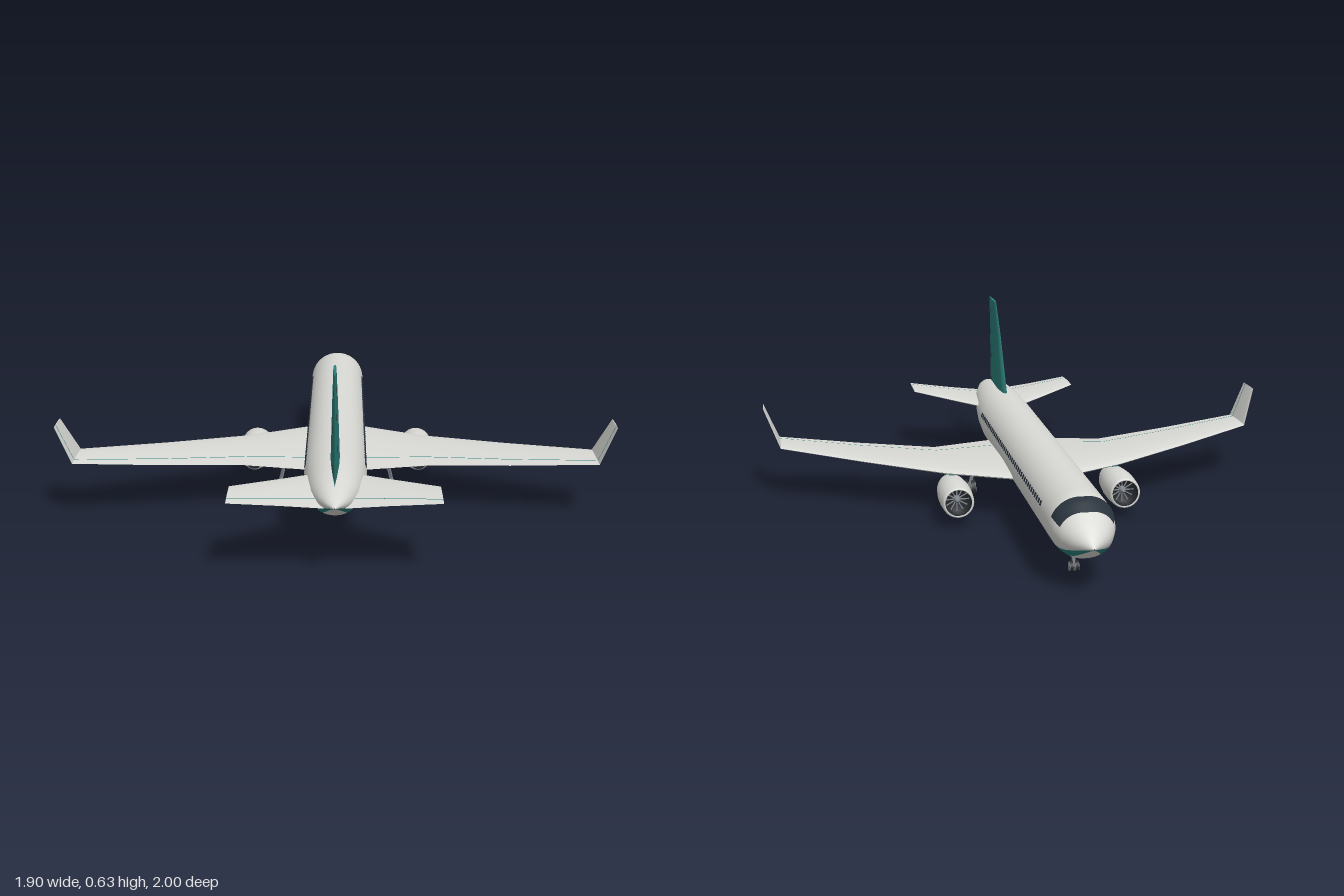
import * as THREE from 'three';
import { toCreasedNormals } from 'three/addons/utils/BufferGeometryUtils.js';

const paint = (name, color, side = THREE.FrontSide) => {
  const m = new THREE.MeshStandardMaterial({ color, side });
  m.name = name;
  return m;
};

// Fuselage stations: z, top y, bottom y, half width (nose at -z)
const STATIONS = [
  [-1, 0.173, 0.169, 0.002], [-0.985, 0.195, 0.157, 0.024], [-0.95, 0.227, 0.135, 0.058],
  [-0.91, 0.258, 0.113, 0.083], [-0.87, 0.284, 0.098, 0.098], [-0.83, 0.298, 0.091, 0.104],
  [-0.78, 0.3, 0.09, 0.105], [0.48, 0.3, 0.09, 0.105], [0.6, 0.3, 0.102, 0.1],
  [0.7, 0.298, 0.125, 0.091], [0.8, 0.291, 0.157, 0.077], [0.9, 0.276, 0.2, 0.051],
  [0.96, 0.262, 0.229, 0.026], [1, 0.25, 0.246, 0.002],
];

// Point on the fuselage skin at z and angle in degrees (0 = +x, 90 = top)
function skin(z, deg, lift) {
  let i = 0;
  while (i < STATIONS.length - 2 && z > STATIONS[i + 1][0]) i++;
  const a = STATIONS[i], b = STATIONS[i + 1], k = (z - a[0]) / (b[0] - a[0]);
  const [, top, bottom, w] = a.map((v, n) => v + (b[n] - v) * k);
  const r = THREE.MathUtils.degToRad(deg);
  return [Math.cos(r) * (w + lift), (top + bottom) / 2 + Math.sin(r) * ((top - bottom) / 2 + lift), z];
}

// Grid of points rows x cols; normal is (column step) x (row step)
function grid(rows) {
  const n = rows[0].length, index = [];
  for (let i = 0; i < rows.length - 1; i++)
    for (let j = 0; j < n - 1; j++) {
      const a = i * n + j, b = a + 1, d = a + n, c = d + 1;
      index.push(a, b, c, a, c, d);
    }
  const g = new THREE.BufferGeometry();
  g.setAttribute('position', new THREE.Float32BufferAttribute(rows.flat(2), 3));
  g.setIndex(index);
  g.computeVertexNormals();
  return g;
}

// Patch of fuselage skin between two angles, with z positions that may depend on the angle
function skinPatch(a0, a1, zsAt, lift = 0) {
  const n = Math.round((a1 - a0) / 5), cols = [];
  for (let j = 0; j <= n; j++) {
    const deg = a0 + ((a1 - a0) * j) / n;
    cols.push(zsAt(deg).map((z) => skin(z, deg, lift)));
  }
  return grid(cols[0].map((_, i) => cols.map((c) => c[i])));
}

// Aerofoil surfaces: each section is { p: [x, y], n: thickness direction, z0, z1, t }
const CHORD = [0, 0.03, 0.1, 0.3, 0.5, 0.79, 1];
const halfThick = (f) => 1.3 * Math.sqrt(f) * (1 - f);
const foilPoint = (s, f, side, lift = 0) => {
  const h = side * (halfThick(f) * s.t + lift);
  return [s.p[0] + s.n[0] * h, s.p[1] + s.n[1] * h, s.z0 + (s.z1 - s.z0) * f];
};
function foil(sections) {
  const rows = sections.map((s) => [
    ...CHORD.map((f) => foilPoint(s, f, 1)),
    ...CHORD.slice(0, -1).reverse().map((f) => foilPoint(s, f, -1)),
  ]);
  const g = grid(rows), n = rows[0].length, last = (rows.length - 1) * n;
  const index = [...g.index.array];
  for (let j = 1; j < n - 2; j++) index.push(last, last + j, last + j + 1);
  g.setIndex(index);
  return toCreasedNormals(g, 0.7);
}
// Thin hinge line along a foil
const hinge = (sections, side) =>
  grid(sections.map((s) => [-0.002, 0.002].map((d) => foilPoint(s, 0.79 + d / (s.z1 - s.z0), side, 0.0012))));

// Mirrors a geometry across x and keeps the faces outward
function mirrored(g) {
  const m = (g.index ? g.toNonIndexed() : g.clone()).scale(-1, 1, 1);
  for (const name of ['position', 'normal']) {
    const a = m.attributes[name].array;
    for (let i = 0; i < a.length; i += 9)
      for (let k = 0; k < 3; k++) [a[i + 3 + k], a[i + 6 + k]] = [a[i + 6 + k], a[i + 3 + k]];
  }
  return m;
}

const lathe = (pts) =>
  new THREE.LatheGeometry(pts.map(([r, z]) => new THREE.Vector2(r, z)), 24).rotateX(Math.PI / 2);

export function createModel() {
  const white = paint('bodyWhite', 0xdadad6);
  const teal = paint('teal', 0x2c807a);
  const tealLine = paint('hingeTeal', 0x2c807a, THREE.DoubleSide);
  const glass = paint('darkGlass', 0x2a333d, THREE.DoubleSide);
  const dark = paint('rubber', 0x25282c);
  const metal = paint('metal', 0x80868c);
  const model = new THREE.Group();
  model.name = 'airliner';
  const add = (name, geometry, material, parent = model) => {
    const m = new THREE.Mesh(geometry, material);
    m.name = name;
    parent.add(m);
    return m;
  };
  const pair = (name, geometry, material) => {
    add(name + 'Left', geometry, material);
    add(name + 'Right', mirrored(geometry), material);
  };
  const strut = (name, a, b, r) => {
    const p = new THREE.Vector3(...a), q = new THREE.Vector3(...b);
    const m = add(name, new THREE.CylinderGeometry(r, r, p.distanceTo(q), 10), metal);
    m.position.copy(p).lerp(q, 0.5);
    m.quaternion.setFromUnitVectors(new THREE.Vector3(0, 1, 0), q.sub(p).normalize());
  };

  // Fuselage skin with a stripe low on each side
  const allZ = () => STATIONS.map((s) => s[0]);
  add('fuselage', skinPatch(-35, 215, allZ), white);
  add('belly', skinPatch(-120, -60, allZ), white);
  pair('stripe', skinPatch(-60, -35, allZ), teal);

  // Cockpit glazing wraps over the nose
  add('cockpitWindows', skinPatch(20, 160, (deg) => {
    const c = Math.abs(Math.cos(THREE.MathUtils.degToRad(deg)));
    const front = -0.91 + 0.012 * c, back = -0.85 + 0.015 * c;
    return [0, 1, 2, 3, 4, 5, 6].map((i) => front + ((back - front) * i) / 6);
  }, 0.003), glass);

  // Cabin windows
  const cabin = new THREE.Group();
  cabin.name = 'cabinWindows';
  model.add(cabin);
  const pane = new THREE.BoxGeometry(0.006, 0.016, 0.014);
  for (let i = 0; i < 40; i++)
    for (const s of [1, -1]) {
      const w = add('cabinWindow', pane, glass, cabin);
      w.position.set(s * 0.0995, 0.225, 0.49 - i * 0.03);
      w.rotation.z = s * 0.29;
    }

  // Wings with upturned tips
  const up = [0, 1];
  const wing = [
    { p: [0.04, 0.162], n: up, z0: -0.216, z1: 0.36, t: 0.04 },
    { p: [0.32, 0.16], n: up, z0: -0.07, z1: 0.29, t: 0.028 },
    { p: [0.6, 0.177], n: up, z0: 0.075, z1: 0.345, t: 0.018 },
    { p: [0.895, 0.2], n: [-0.25, 0.97], z0: 0.23, z1: 0.405, t: 0.011 },
    { p: [0.95, 0.33], n: [-0.93, 0.36], z0: 0.295, z1: 0.408, t: 0.004 },
  ];
  // Tailplane and fin
  const tailplane = [
    { p: [0.02, 0.224], n: up, z0: 0.565, z1: 0.93, t: 0.028 },
    { p: [0.165, 0.238], n: up, z0: 0.68, z1: 0.945, t: 0.018 },
    { p: [0.33, 0.256], n: up, z0: 0.81, z1: 0.975, t: 0.008 },
  ];
  for (const [name, s] of [['wing', wing], ['tailplane', tailplane]]) {
    pair(name, foil(s), white);
    pair(name + 'UpperHinge', hinge(s, 1), tealLine);
    pair(name + 'LowerHinge', hinge(s, -1), tealLine);
  }
  const fin = [
    { p: [0, 0.26], n: [-1, 0], z0: 0.5, z1: 0.88, t: 0.032 },
    { p: [0, 0.51], n: [-1, 0], z0: 0.65, z1: 0.893, t: 0.018 },
    { p: [0, 0.63], n: [-1, 0], z0: 0.745, z1: 0.9, t: 0.01 },
  ];
  add('fin', foil(fin), teal);
  for (const side of [1, -1]) add('finHinge', hinge(fin, side), glass);

  // Engines
  const pylonShape = new THREE.Shape([[-0.11, 0.04], [-0.03, 0.065], [0.1, 0.062], [0.085, 0.01], [0.02, 0.015]]
    .map(([z, y]) => new THREE.Vector2(-z, y)));
  const pylon = new THREE.ExtrudeGeometry(pylonShape, { depth: 0.018, bevelEnabled: false })
    .translate(0, 0, -0.009).rotateY(Math.PI / 2);
  for (const s of [1, -1]) {
    const engine = new THREE.Group();
    engine.name = s > 0 ? 'engineLeft' : 'engineRight';
    engine.position.set(s * 0.3, 0.094, 0);
    model.add(engine);
    add('nacelle', lathe([[0.047, -0.222], [0.052, -0.226], [0.056, -0.215], [0.06, -0.15], [0.059, -0.1],
      [0.053, -0.04], [0.041, 0.005], [0.03, 0.03]]), white, engine);
    add('intake', lathe([[0.001, -0.17], [0.045, -0.17], [0.047, -0.222]]), dark, engine);
    add('spinner', lathe([[0.001, -0.205], [0.008, -0.193], [0.014, -0.17]]), metal, engine);
    for (let i = 0; i < 12; i++) {
      const blade = add('fanBlade', new THREE.BoxGeometry(0.004, 0.03, 0.003).translate(0, 0.028, 0), metal, engine);
      blade.position.z = -0.173;
      blade.rotation.z = (i * Math.PI) / 6;
    }
    add('exhaustRing', lathe([[0.03, 0.03], [0.018, 0.03]]), dark, engine);
    add('exhaustCone', lathe([[0.019, 0.03], [0.014, 0.055], [0.001, 0.09]]), metal, engine);
    add('pylon', pylon, teal, engine);
  }

  // Landing gear: twin wheels on each leg
  const wheelPair = (name, x, y, z, r, gap, width) => {
    for (const s of [1, -1]) {
      const tyre = add(name + 'Tyre', new THREE.CylinderGeometry(r, r, width, 18), dark);
      const hub = add(name + 'Hub', new THREE.CylinderGeometry(r * 0.8, r * 0.8, width + 0.004, 18), metal);
      for (const m of [tyre, hub]) {
        m.position.set(x + s * gap, y, z);
        m.rotation.z = Math.PI / 2;
      }
    }
    strut(name + 'Axle', [x - gap, y, z], [x + gap, y, z], 0.005);
  };
  for (const s of [1, -1]) {
    wheelPair('mainWheel', s * 0.206, 0.031, 0.16, 0.031, 0.014, 0.016);
    strut('mainLeg', [s * 0.206, 0.031, 0.16], [s * 0.175, 0.16, 0.15], 0.007);
    strut('mainBrace', [s * 0.198, 0.07, 0.158], [s * 0.18, 0.16, 0.19], 0.004);
  }
  wheelPair('noseWheel', 0, 0.019, -0.72, 0.019, 0.009, 0.01);
  strut('noseLeg', [0, 0.019, -0.72], [0, 0.1, -0.71], 0.006);
  return model;
}
